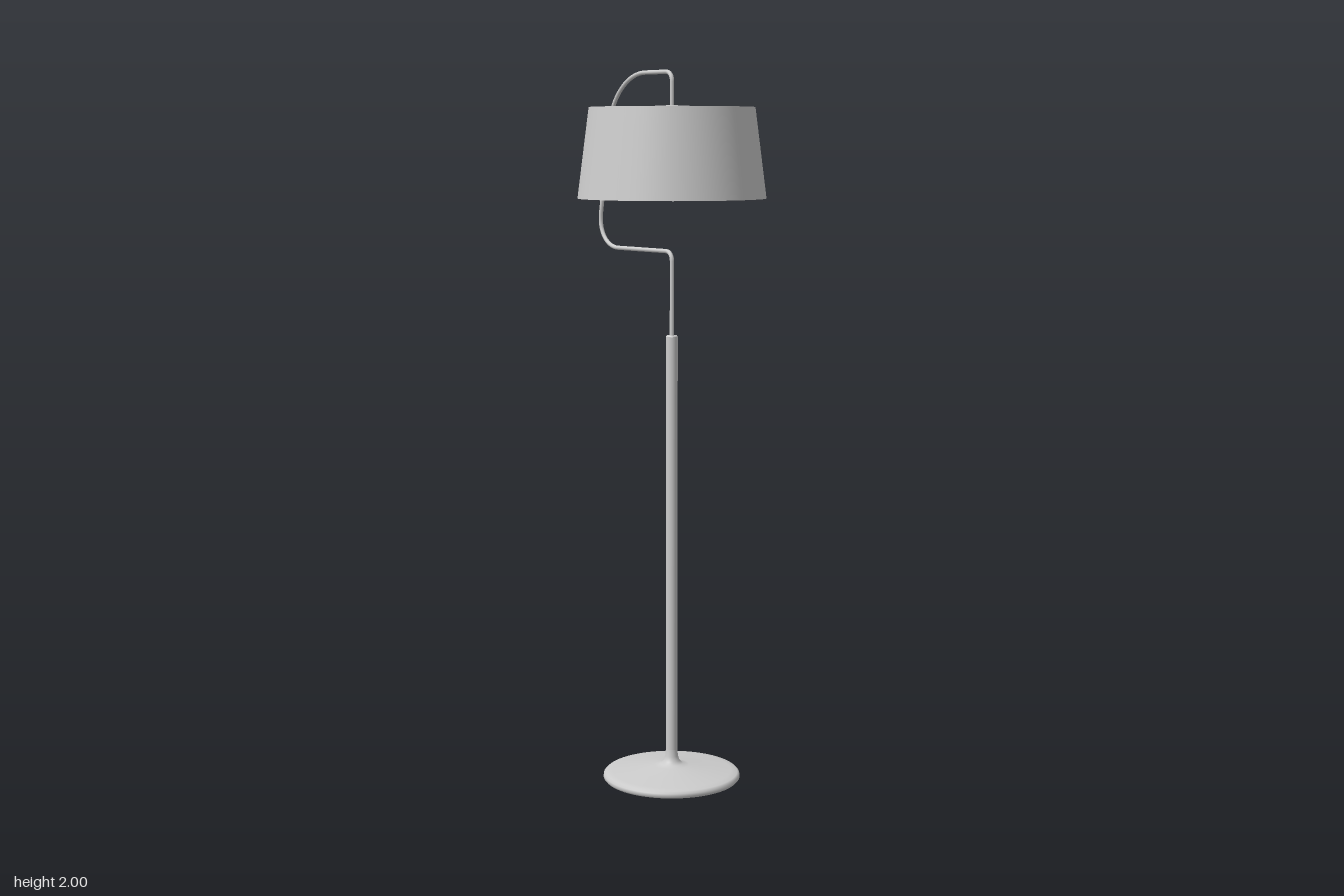
import * as THREE from 'three';

const AXIS_X = 0.038; // the pole, base and shade share this axis

// Smooth lathe for each run of [radius, y] points; edges between runs stay sharp.
function lathe(name, runs, material, segments = 64) {
  const group = new THREE.Group();
  group.name = name;
  for (const run of runs) {
    const points = run.map(([r, y]) => new THREE.Vector2(r, y));
    const mesh = new THREE.Mesh(new THREE.LatheGeometry(points, segments), material);
    mesh.name = name + 'Surface';
    group.add(mesh);
  }
  group.position.x = AXIS_X;
  return group;
}

// Polyline in the xy plane whose corners [x, y, trim] are rounded.
function roundedPath(corners) {
  const path = new THREE.CurvePath();
  const pts = corners.map(([x, y]) => new THREE.Vector3(x, y, 0));
  let last = pts[0];
  for (let i = 1; i < pts.length - 1; i++) {
    const p = pts[i];
    const trim = corners[i][2];
    const toPrev = pts[i - 1].clone().sub(p).normalize();
    const toNext = pts[i + 1].clone().sub(p).normalize();
    const at = (dir, d) => p.clone().addScaledVector(dir, d);
    const start = at(toPrev, trim);
    const end = at(toNext, trim);
    path.add(new THREE.LineCurve3(last, start));
    path.add(new THREE.CubicBezierCurve3(start, at(toPrev, trim * 0.44), at(toNext, trim * 0.44), end));
    last = end;
  }
  path.add(new THREE.LineCurve3(last, pts[pts.length - 1]));
  return path;
}

export function createModel() {
  const model = new THREE.Group();
  model.name = 'floorLamp';
  const grey = new THREE.MeshStandardMaterial({ color: 0xcccccc });
  grey.name = 'lightGrey';

  // Shallow dished base flaring into the pole
  model.add(lathe('base', [
    [[0, 0], [0.19, 0]],
    [[0.19, 0], [0.195, 0.006], [0.194, 0.014], [0.188, 0.02], [0.17, 0.023], [0.11, 0.031],
      [0.05, 0.039], [0.032, 0.043], [0.023, 0.051], [0.018, 0.065], [0.0165, 0.085]],
  ], grey, 96));

  // Thick pole
  model.add(lathe('pole', [
    [[0.0165, 0.08], [0.0165, 1.268]],
    [[0.0165, 1.268], [0.014, 1.272]],
    [[0.014, 1.272], [0, 1.272]],
  ], grey, 32));

  // Thin bent arm that loops around the shade
  const path = roundedPath([
    [AXIS_X, 1.25], [AXIS_X, 1.504, 0.025], [-0.31, 1.504, 0.1],
    [-0.224, 1.994, 0.14], [AXIS_X, 1.994, 0.025], [AXIS_X, 1.89],
  ]);
  const arm = new THREE.Mesh(new THREE.TubeGeometry(path, 260, 0.006, 12), grey);
  arm.name = 'arm';
  model.add(arm);

  // Lamp socket with a narrower holder below
  model.add(lathe('socket', [
    [[0, 1.79], [0.011, 1.79]],
    [[0.011, 1.79], [0.011, 1.84]],
    [[0.011, 1.84], [0.019, 1.84]],
    [[0.019, 1.84], [0.019, 1.9]],
    [[0.019, 1.9], [0.016, 1.904], [0.006, 1.904]],
  ], grey, 32));

  // Open tapered shade with a thin wall
  model.add(lathe('shade', [
    [[0.26, 1.65], [0.228, 1.898]],
    [[0.228, 1.898], [0.224, 1.898]],
    [[0.224, 1.898], [0.256, 1.65]],
    [[0.256, 1.65], [0.26, 1.65]],
  ], grey, 96));

  return model;
}
